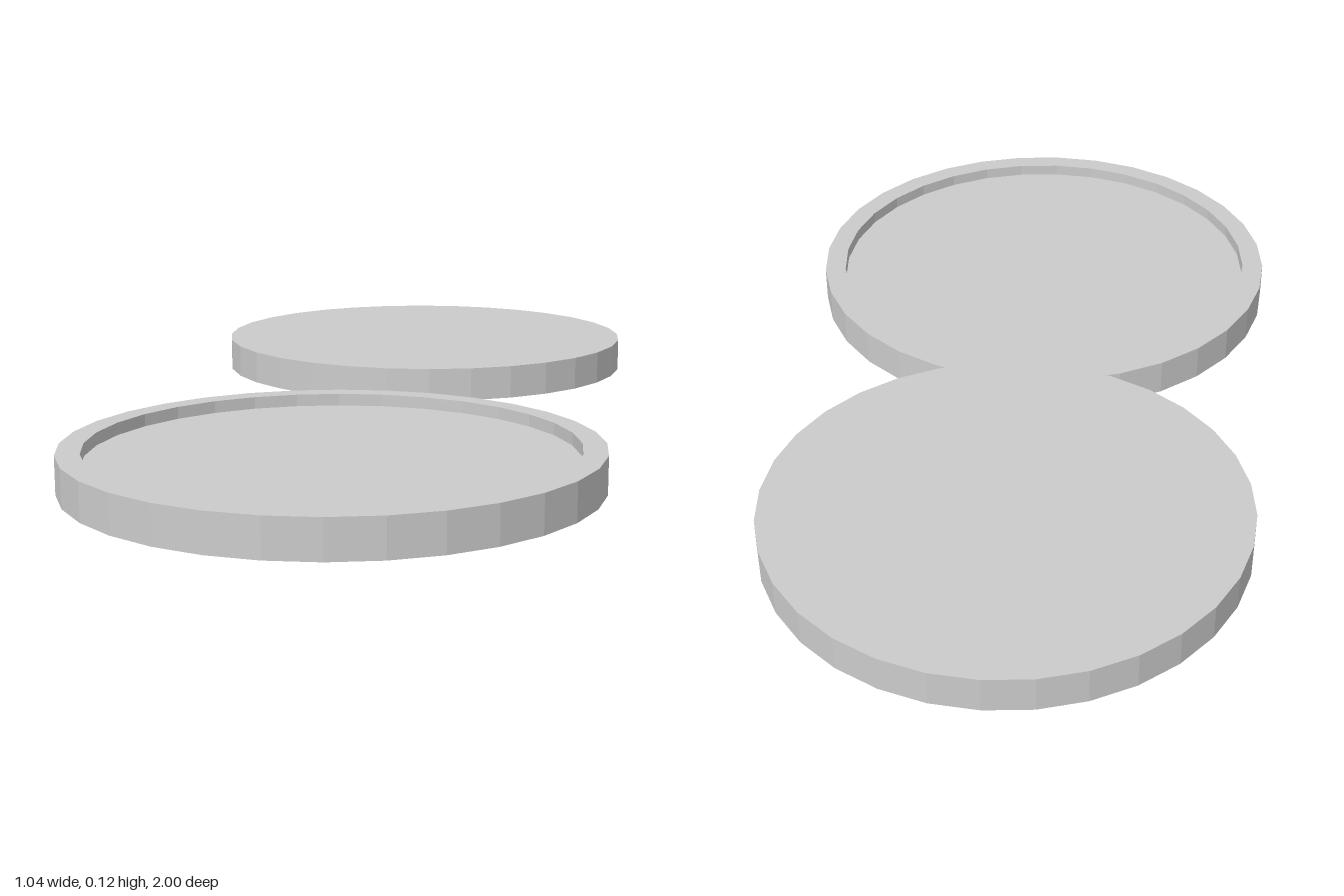
import * as THREE from 'three';

const SIDES = 32;

export function createModel() {
  const model = new THREE.Group();
  const material = new THREE.MeshStandardMaterial({ color: 0xcccccc, flatShading: true });

  // Turns a closed [radius, y] profile, listed from bottom centre to top centre
  const addTurned = (name, profile, z) => {
    const points = profile.map(([r, y]) => new THREE.Vector2(r, y));
    const mesh = new THREE.Mesh(new THREE.LatheGeometry(points, SIDES), material);
    mesh.name = name;
    mesh.position.z = z;
    model.add(mesh);
  };

  // Shallow round tray with a raised rim around its recessed floor
  addTurned('tray', [
    [0, 0], [0.522, 0], [0.522, 0.0755], [0.475, 0.0755], [0.475, 0.05], [0, 0.05],
  ], 0.478);

  // Solid disc sized to the recess, set behind the tray and slightly raised
  addTurned('disc', [
    [0, 0.053], [0.475, 0.053], [0.475, 0.124], [0, 0.124],
  ], -0.525);

  return model;
}
